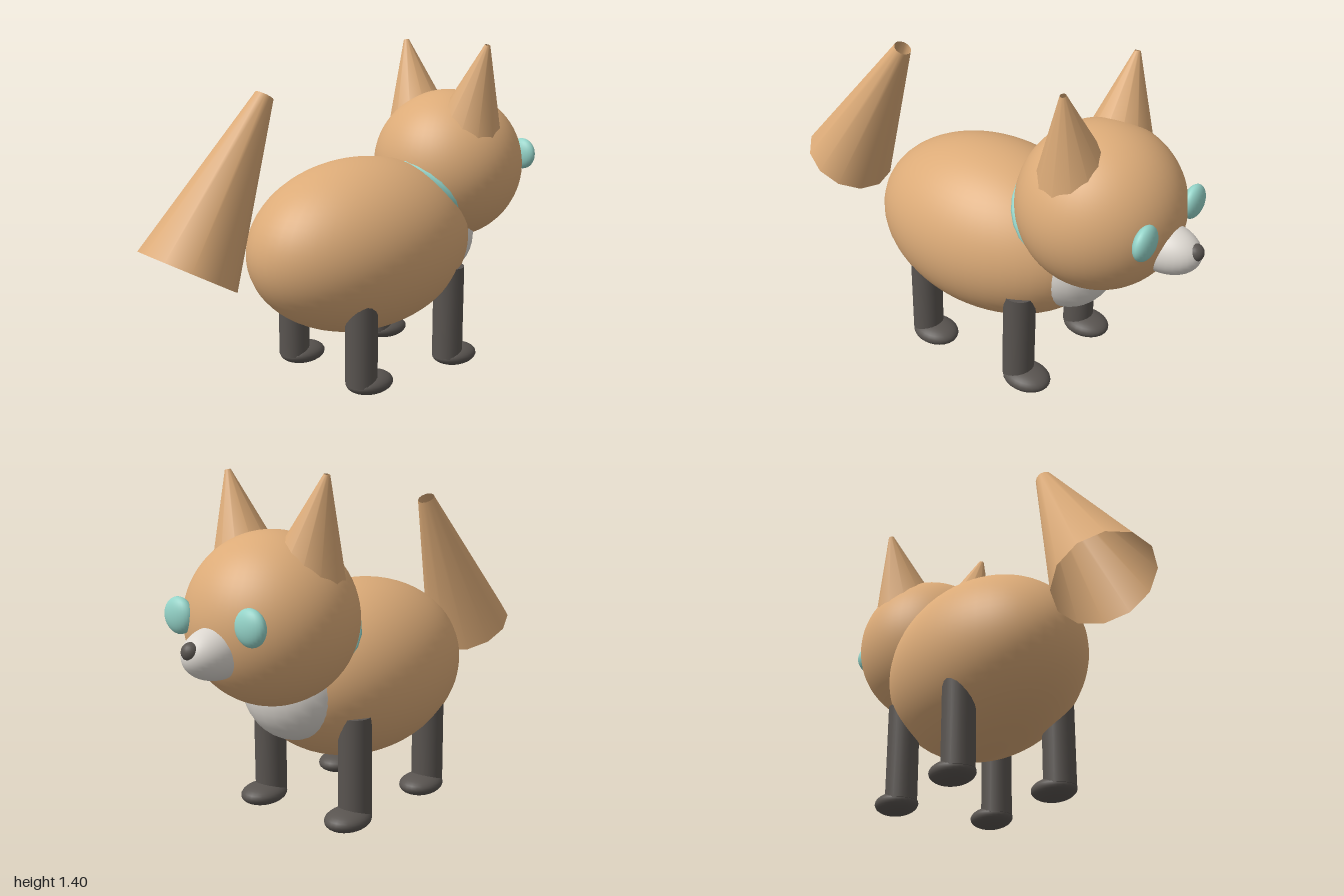
import * as THREE from 'three';

const mat = (name, color, side = THREE.FrontSide) => {
  const m = new THREE.MeshStandardMaterial({ color, side });
  m.name = name;
  return m;
};

export function createModel() {
  const fox = new THREE.Group();
  fox.name = 'fox';

  const fur = mat('tanFur', 0xdcab78, THREE.DoubleSide);
  const dark = mat('darkGrey', 0x595450);
  const white = mat('offWhite', 0xdcd7d0);
  const teal = mat('teal', 0x94d3c8);

  const add = (name, geometry, material, x, y, z) => {
    const mesh = new THREE.Mesh(geometry, material);
    mesh.name = name;
    mesh.position.set(x, y, z);
    fox.add(mesh);
    return mesh;
  };
  const ellipsoid = (name, material, x, y, z, rx, ry, rz, seg = 32) =>
    add(name, new THREE.SphereGeometry(1, seg, seg * 0.75), material, x, y, z).scale.set(rx, ry, rz);

  // Body, chest and head
  ellipsoid('body', fur, 0, 0.57, -0.03, 0.37, 0.37, 0.54, 48);
  ellipsoid('chest', white, 0, 0.56, -0.44, 0.213, 0.21, 0.185, 24);
  ellipsoid('head', fur, 0, 0.855, -0.55, 0.335, 0.335, 0.335, 48);
  ellipsoid('muzzle', white, 0, 0.775, -0.84, 0.1, 0.1, 0.15);
  ellipsoid('nose', dark, 0, 0.8, -0.965, 0.035, 0.035, 0.035, 20);

  // Collar tucked into the seam between head and body
  const collar = add('collar', new THREE.TorusGeometry(0.232, 0.02, 8, 24), teal, 0, 0.745, -0.35);
  collar.scale.y = 0.85;
  collar.rotation.x = 0.64;

  // Tail: open tapered tube leaning towards the head
  const tail = add('tail', new THREE.CylinderGeometry(0.038, 0.202, 0.733, 12, 1, true), fur, 0, 0.922, 0.642);
  tail.rotation.x = -Math.PI / 6;

  for (const side of [1, -1]) {
    const label = side > 0 ? 'left' : 'right';

    // Ear: blunt cone tilted outwards
    const tilt = Math.PI / 12;
    const ear = add(label + 'Ear', new THREE.CylinderGeometry(0.012, 0.157, 0.4, 12, 1, true), fur,
      side * (0.25 - 0.2 * Math.sin(tilt)), 1.4 - 0.2 * Math.cos(tilt), -0.52);
    ear.rotation.z = -side * tilt;

    ellipsoid(label + 'Eye', teal, side * 0.182, 0.89, -0.852, 0.07, 0.07, 0.036, 24);

    // Legs with flat oval paws
    for (const [end, z] of [['Front', -0.338], ['Back', 0.163]]) {
      add(label + end + 'Leg', new THREE.CylinderGeometry(0.067, 0.067, 0.41, 20), dark, side * 0.228, 0.255, z);
      ellipsoid(label + end + 'Paw', dark, side * 0.228, 0.047, z - 0.044, 0.087, 0.045, 0.107, 24);
    }
  }
  return fox;
}
